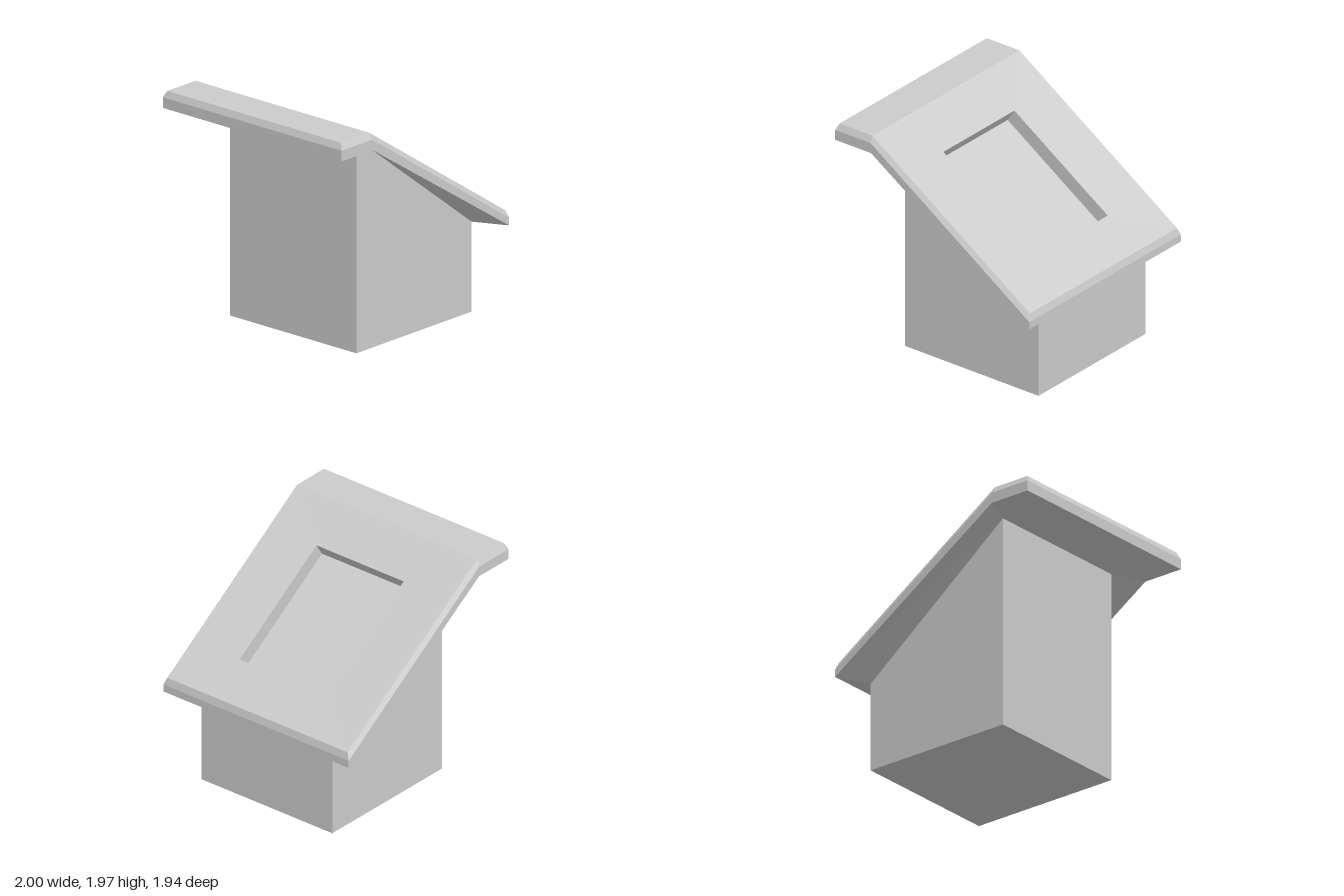
import * as THREE from 'three';

const v = (x, y, z) => [x, y, z];

// Gathers flat polygons (counter-clockwise from outside) into one mesh
function polyMesh(name, polygons) {
  const pos = [];
  for (const p of polygons)
    for (let i = 1; i < p.length - 1; i++) pos.push(...p[0], ...p[i], ...p[i + 1]);
  const geometry = new THREE.BufferGeometry();
  geometry.setAttribute('position', new THREE.Float32BufferAttribute(pos, 3));
  geometry.computeVertexNormals();
  const mesh = new THREE.Mesh(geometry, new THREE.MeshStandardMaterial({ color: 0xcccccc, flatShading: true }));
  mesh.name = name;
  return mesh;
}

// Closed loop: the profile along +z, then back along -z
const ring = (profile, z) => [
  ...profile.map(([x, y]) => v(x, y, z)),
  ...[...profile].reverse().map(([x, y]) => v(x, y, -z)),
];

// Quads joining two loops of equal length
const band = (a, b) => a.map((p, i) => {
  const j = (i + 1) % a.length;
  return [p, a[j], b[j], b[i]];
});

export function createModel() {
  const group = new THREE.Group();

  // Bent board: lower rim, chamfer start and upper rim
  const low = ring([[-1, 1.825], [-0.63, 1.825], [1, 0.765]], 0.97);
  const mid = ring([[-1, 1.915], [-0.635, 1.915], [1, 0.83]], 0.97);
  const top = ring([[-0.977, 1.97], [-0.64, 1.97], [0.983, 0.893]], 0.943);

  // Recess sunk square to the slope
  const hole = ring([[-0.3, 1.735], [0.66, 1.1]], 0.456);
  const floor = hole.map(([x, y, z]) => v(x - 0.07, y - 0.107, z));

  // Pedestal outline at the top and on the ground
  const pedTop = ring([[-0.51, 1.825], [0.865, 0.765]], 0.685);
  const pedBase = pedTop.map(([x, , z]) => v(x, 0, z));

  group.add(polyMesh('slopedTop', [
    ...band(low, mid),
    ...band(mid, top),
    [top[0], top[1], top[4], top[5]],
    ...band([top[1], top[2], top[3], top[4]], hole),
    // Underside running in to the pedestal
    [low[5], low[4], pedTop[3], pedTop[0], low[1], low[0]],
    [pedTop[2], low[3], low[2], pedTop[1]],
    [pedTop[0], low[2], low[1]],
    [pedTop[1], low[2], pedTop[0]],
    [low[4], low[3], pedTop[3]],
    [pedTop[3], low[3], pedTop[2]],
  ]));
  group.add(polyMesh('recess', [...band(hole, floor), floor]));
  group.add(polyMesh('pedestal', [...band(pedBase, pedTop), [...pedBase].reverse()]));
  return group;
}
